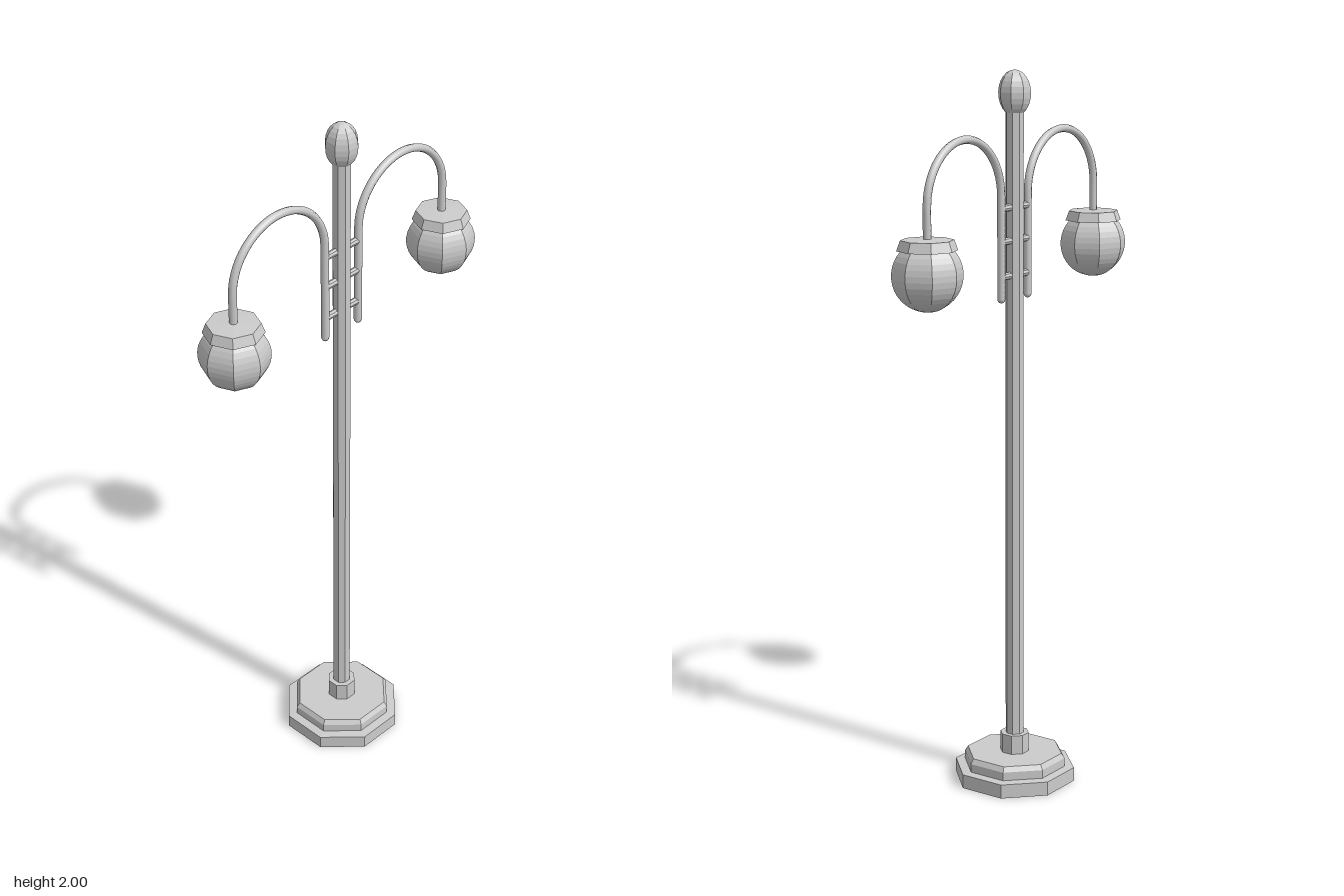
import * as THREE from 'three';

const material = new THREE.MeshStandardMaterial({ color: 0xcccccc, flatShading: true, side: THREE.DoubleSide });
const smooth = new THREE.MeshStandardMaterial({ color: 0xcccccc });

function add(parent, name, geometry, mat = material) {
  const mesh = new THREE.Mesh(geometry, mat);
  mesh.name = name;
  parent.add(mesh);
  return mesh;
}

// Eight-sided turned part from [radius, height] pairs, bottom to top
function turned(profile, phase = Math.PI / 8) {
  return new THREE.LatheGeometry(profile.map(([r, y]) => new THREE.Vector2(r, y)), 8, phase);
}

// Egg-shaped profile between two angles, measured from the bottom pole
function egg(radius, halfHeight, centreY, from, to, steps) {
  const points = [];
  for (let i = 0; i <= steps; i++) {
    const a = from + (to - from) * i / steps;
    points.push([Math.max(0, radius * Math.sin(a)), centreY - halfHeight * Math.cos(a)]);
  }
  return points;
}

// Hooked arm: straight stem, semicircular arch, short drop to the lamp
function armPath() {
  const path = new THREE.CurvePath();
  const v = (x, y) => new THREE.Vector3(x, y, 0);
  const arch = [];
  for (let i = 0; i <= 16; i++) {
    const a = Math.PI * (1 - i / 16);
    arch.push(v(0.225 + 0.163 * Math.cos(a), 1.667 + 0.163 * Math.sin(a)));
  }
  path.add(new THREE.LineCurve3(v(0.062, 1.39), arch[0]));
  path.add(new THREE.CatmullRomCurve3(arch));
  path.add(new THREE.LineCurve3(arch[16], v(0.388, 1.575)));
  return path;
}

function createSide(name) {
  const side = new THREE.Group();
  side.name = name;
  add(side, 'arm', new THREE.TubeGeometry(armPath(), 64, 0.011, 8), smooth);
  add(side, 'armTip', new THREE.SphereGeometry(0.011, 8, 6), smooth).position.set(0.062, 1.39, 0);

  // Three short rods tie the arm to the pole
  for (const y of [1.45, 1.545, 1.635]) {
    const rod = add(side, 'bracket', new THREE.CylinderGeometry(0.01, 0.01, 0.046, 8));
    rod.rotation.z = Math.PI / 2;
    rod.position.set(0.04, y, 0);
  }

  // Faceted globe under a flared cap
  const lamp = new THREE.Group();
  lamp.name = 'lamp';
  lamp.position.x = 0.388;
  add(lamp, 'globe', turned(egg(0.094, 0.095, 1.495, 0, 2.32, 14), 0));
  add(lamp, 'cap', turned([[0.068, 1.559], [0.08, 1.56], [0.07, 1.587], [0, 1.59]], 0));
  side.add(lamp);
  return side;
}

export function createModel() {
  const model = new THREE.Group();
  model.name = 'streetLamp';

  // Stepped base, hollow underneath, with a collar for the pole
  add(model, 'base', turned([
    [0.173, 0], [0.173, 0.04], [0.146, 0.042], [0.146, 0.066], [0.137, 0.08],
    [0.041, 0.08], [0.041, 0.135], [0.024, 0.135],
  ]));
  add(model, 'pole', turned([[0, 0.08], [0.026, 0.08], [0.025, 1.9], [0, 1.9]]));

  // Egg finial, cut flat where it meets the pole
  add(model, 'finial', turned(egg(0.045, 0.062, 1.938, 0.6, Math.PI, 10)));

  const left = createSide('leftArm');
  const right = createSide('rightArm');
  right.rotation.y = Math.PI;
  model.add(left, right);
  return model;
}
